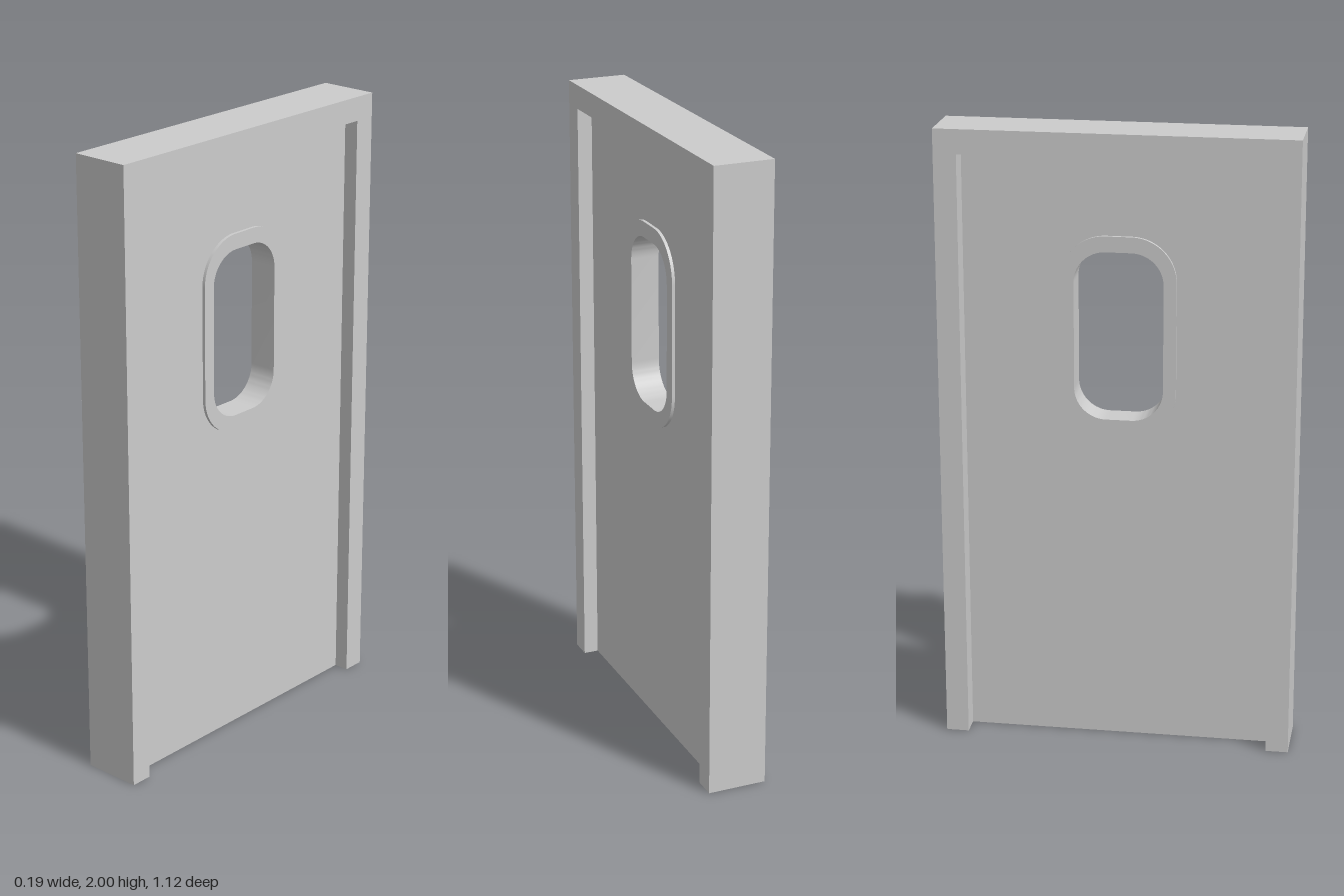
import * as THREE from 'three';
import { toCreasedNormals } from 'three/addons/utils/BufferGeometryUtils.js';

const material = new THREE.MeshStandardMaterial({ color: 0xcccccc, side: THREE.DoubleSide });

// Rounded rectangle centred on the window axis
function roundedOutline(Path, halfWidth, bottom, top, radius) {
  const path = new Path();
  path.absarc(halfWidth - radius, bottom + radius, radius, -Math.PI / 2, 0);
  path.absarc(halfWidth - radius, top - radius, radius, 0, Math.PI / 2);
  path.absarc(radius - halfWidth, top - radius, radius, Math.PI / 2, Math.PI);
  path.absarc(radius - halfWidth, bottom + radius, radius, Math.PI, Math.PI * 1.5);
  path.closePath();
  return path;
}

// Drops the faces lying on the floor, leaving a hollow shell
function openBottom(geometry) {
  const source = geometry.getAttribute('position');
  const kept = [];
  for (let i = 0; i < source.count; i += 3) {
    const corners = [i, i + 1, i + 2];
    if (corners.every((c) => source.getY(c) < 1e-4)) continue;
    for (const c of corners) kept.push(source.getX(c), source.getY(c), source.getZ(c));
  }
  const shell = new THREE.BufferGeometry();
  shell.setAttribute('position', new THREE.Float32BufferAttribute(kept, 3));
  return shell;
}

// Extrudes an elevation outline through the wall, from xMin to xMax
function slab(name, shape, xMin, xMax) {
  let geometry = new THREE.ExtrudeGeometry(shape, {
    depth: xMax - xMin, bevelEnabled: false, curveSegments: 10,
  });
  geometry.rotateY(Math.PI / 2);
  geometry.translate(xMin, 0, 0);
  geometry = toCreasedNormals(openBottom(geometry), Math.PI / 6);
  const mesh = new THREE.Mesh(geometry, material);
  mesh.name = name;
  return mesh;
}

function polygon(points) {
  return new THREE.Shape(points.map(([x, y]) => new THREE.Vector2(x, y)));
}

export function createModel() {
  const group = new THREE.Group();
  group.name = 'door';

  const outer = 0.56, inner = 0.488, head = 1.923;

  // Surround: two jambs joined by a head
  const surround = polygon([
    [-outer, 0], [-inner, 0], [-inner, head], [inner, head],
    [inner, 0], [outer, 0], [outer, 2], [-outer, 2],
  ]);
  group.add(slab('doorFrame', surround, -0.095, 0.095));

  // Recessed leaf with the window cut-out
  const leaf = polygon([[-inner, 0], [inner, 0], [inner, head], [-inner, head]]);
  leaf.holes.push(roundedOutline(THREE.Path, 0.165, 1.05, 1.65, 0.12));
  group.add(slab('doorPanel', leaf, -0.026, 0.047));

  // Slightly raised rim lining the window
  const rim = roundedOutline(THREE.Shape, 0.18, 1.03, 1.67, 0.14);
  rim.holes.push(roundedOutline(THREE.Path, 0.14, 1.08, 1.62, 0.1));
  group.add(slab('windowRim', rim, -0.036, 0.057));

  return group;
}
